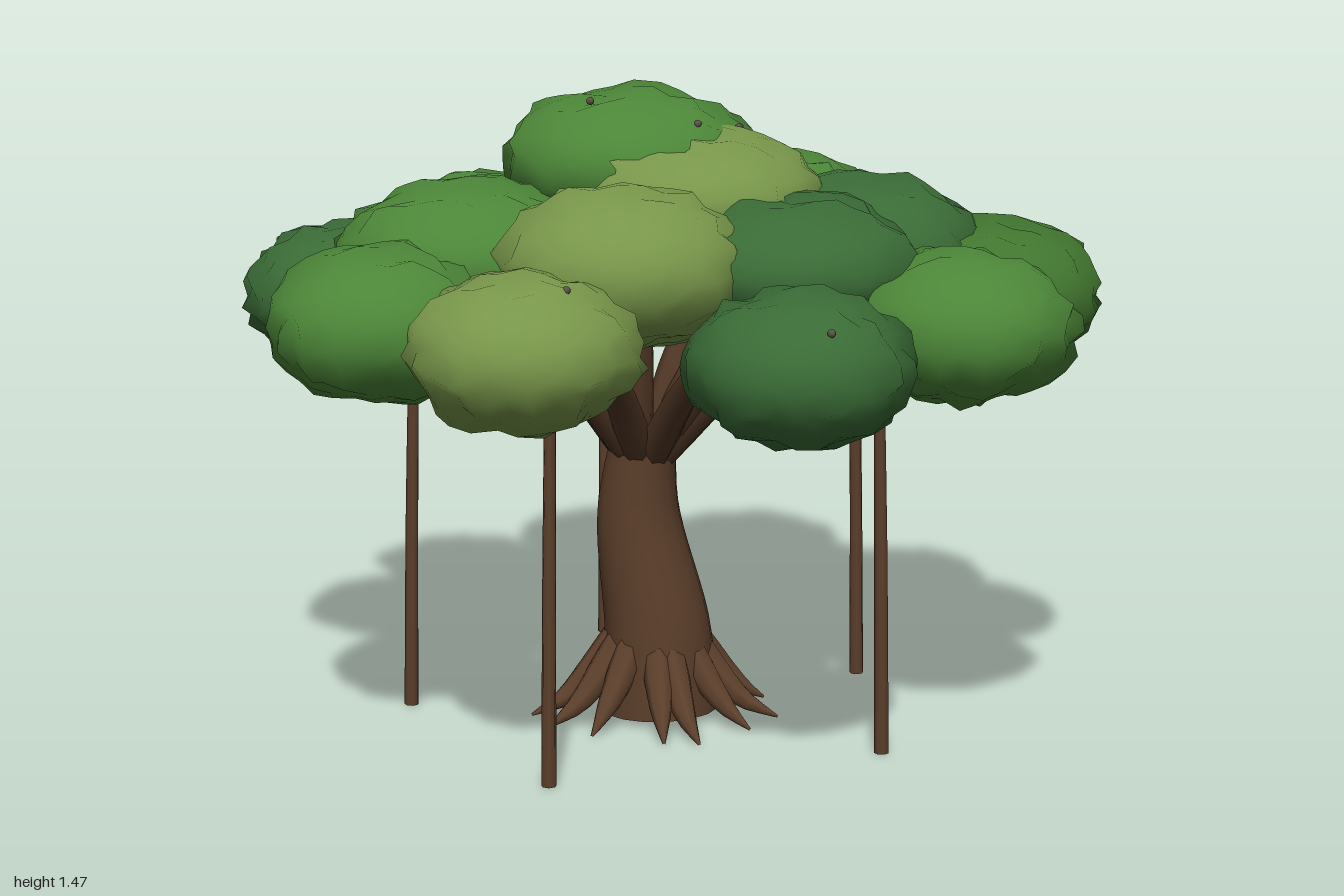
import * as THREE from 'three';

const BARK = 0x5c3f2b, BARK_DARK = 0x4e3524;
const TEAL = 0x3a6b36, GREEN = 0x4c8638, OLIVE = 0x78964a, DARK = 0x41752f, MOSS = 0x5f7836;
const OUTER = 10;

// leaf clumps: x, y, z, horizontal radius, vertical radius, colour
const CLUMPS = [
  // outer ring
  [-0.28, 0.99, -0.75, 0.25, 0.17, TEAL], [0.28, 0.99, -0.66, 0.24, 0.17, MOSS],
  [0.61, 1.01, -0.45, 0.25, 0.17, DARK], [0.75, 1.0, -0.08, 0.25, 0.17, GREEN],
  [0.65, 0.97, 0.39, 0.24, 0.17, TEAL], [0.18, 1.0, 0.71, 0.25, 0.17, OLIVE],
  [-0.19, 1.02, 0.73, 0.25, 0.17, GREEN], [-0.61, 0.99, 0.37, 0.25, 0.17, TEAL],
  [-0.77, 0.99, -0.07, 0.23, 0.15, MOSS], [-0.62, 1.02, -0.53, 0.25, 0.17, GREEN],
  // middle ring
  [-0.36, 1.14, -0.34, 0.26, 0.17, OLIVE], [0.0, 1.11, -0.46, 0.28, 0.17, GREEN],
  [0.36, 1.11, -0.27, 0.29, 0.17, TEAL], [0.39, 1.11, 0.04, 0.29, 0.16, TEAL],
  [0.17, 1.13, 0.36, 0.28, 0.18, OLIVE], [-0.23, 1.12, 0.39, 0.3, 0.17, GREEN],
  [-0.45, 1.09, 0.05, 0.29, 0.16, GREEN],
  // crown
  [-0.08, 1.3, 0.0, 0.3, 0.17, GREEN], [0.08, 1.23, -0.01, 0.31, 0.16, OLIVE],
];

function addMesh(parent, name, geometry, color) {
  const mesh = new THREE.Mesh(geometry, new THREE.MeshStandardMaterial({ color }));
  mesh.name = name;
  parent.add(mesh);
  return mesh;
}

function addGroup(parent, name) {
  const group = new THREE.Group();
  group.name = name;
  parent.add(group);
  return group;
}

// tube along a smooth curve whose radius follows a list of values
function limbGeometry(points, radii, steps = 10, sides = 8) {
  const curve = new THREE.CatmullRomCurve3(points.map((p) => new THREE.Vector3(...p)));
  const geo = new THREE.TubeGeometry(curve, steps, 1, sides);
  const pos = geo.attributes.position, v = new THREE.Vector3();
  for (let i = 0; i <= steps; i++) {
    const t = i / steps, f = t * (radii.length - 1), k = Math.min(Math.floor(f), radii.length - 2);
    const r = THREE.MathUtils.lerp(radii[k], radii[k + 1], f - k);
    const centre = curve.getPointAt(t);
    for (let j = 0; j <= sides; j++) {
      const n = i * (sides + 1) + j;
      v.fromBufferAttribute(pos, n).sub(centre).multiplyScalar(r).add(centre);
      pos.setXYZ(n, v.x, v.y, v.z);
    }
  }
  return geo;
}

// repeatable value in 0..1 from a direction and a seed
function hash(x, y, z, seed) {
  const q = (a) => Math.round(a * 1000) / 1000;
  const s = Math.sin(q(x) * 127.1 + q(y) * 311.7 + q(z) * 74.7 + seed * 19.3) * 43758.5453;
  return s - Math.floor(s);
}

// ragged, flattened ball of leaves, shaded as a soft mass
function clumpGeometry(rx, ry, seed) {
  const geo = new THREE.IcosahedronGeometry(1, 5);
  const pos = geo.attributes.position, normal = geo.attributes.normal, n = new THREE.Vector3();
  for (let i = 0; i < pos.count; i++) {
    const x = pos.getX(i), y = pos.getY(i), z = pos.getZ(i);
    const swell = 0.04 * Math.sin(5 * x + seed) * Math.cos(6 * z + 2 * seed);
    const r = 0.9 + 0.14 * hash(x, y, z, seed) + swell;
    pos.setXYZ(i, x * r * rx, y * r * ry, z * r * rx);
    n.set(x / rx, y / ry, z / rx).normalize();
    normal.setXYZ(i, n.x, n.y, n.z);
  }
  return geo;
}

export function createModel() {
  const model = new THREE.Group();
  model.name = 'tree';

  // leaning trunk with a flat underside
  addMesh(model, 'trunk', limbGeometry(
    [[0, 0.02, 0], [-0.005, 0.2, 0], [-0.052, 0.48, 0.012], [-0.042, 0.67, 0.005]],
    [0.14, 0.122, 0.1, 0.075], 16, 16), BARK);
  const base = addMesh(model, 'trunkBase', new THREE.CircleGeometry(0.14, 16), BARK_DARK);
  base.rotation.x = Math.PI / 2;
  base.position.y = 0.018;

  // flared surface roots, thick at the trunk and pointed at the tip
  const roots = addGroup(model, 'surfaceRoots');
  for (let i = 0; i < 13; i++) {
    const a = (i / 13) * Math.PI * 2 + 0.12 * Math.sin(i * 2.3);
    const reach = 0.275 + 0.02 * Math.sin(i * 1.7);
    const at = (r, y) => [r * Math.cos(a) - 0.015, y, r * Math.sin(a)];
    addMesh(roots, 'surfaceRoot', limbGeometry(
      [at(0.08, 0.2), at(0.15, 0.11), at(0.21, 0.05), at(reach, 0.01)],
      [0.038, 0.036, 0.025, 0.003], 8, 7), BARK);
  }

  // branches rise from the trunk top, then flatten out into the clumps
  const branches = addGroup(model, 'branches');
  CLUMPS.forEach(([x, y, z], i) => {
    const outer = i < OUTER;
    if (!outer && i % 2 === 0) return;
    const d = Math.hypot(x, z);
    const start = [-0.04 + 0.03 * x / d, 0.62, 0.03 * z / d];
    const path = outer
      ? [start, [x * 0.32 - 0.02, 0.84, z * 0.32], [x * 0.55, 0.92, z * 0.55], [x * 0.85, 0.96, z * 0.85]]
      : [start, [x * 0.5 - 0.02, 0.86, z * 0.5], [x * 0.85, y - 0.06, z * 0.85]];
    addMesh(branches, 'branch', limbGeometry(path, [0.042, 0.032, 0.018], 10, 8), BARK_DARK);
  });

  // hanging roots reaching the ground
  const hanging = addGroup(model, 'hangingRoots');
  for (const [x, z] of [[0.585, -0.05], [0.125, 0.57], [-0.495, 0.315], [-0.495, -0.43], [0.212, -0.52]]) {
    addMesh(hanging, 'hangingRoot', limbGeometry(
      [[x, 0.008, z], [x * 0.985, 0.45, z * 0.985], [x * 0.96, 0.97, z * 0.96]],
      [0.017, 0.015, 0.012], 6, 7), BARK);
    const foot = addMesh(hanging, 'hangingRootFoot', new THREE.CircleGeometry(0.017, 7), BARK_DARK);
    foot.rotation.x = Math.PI / 2;
    foot.position.set(x, 0.008, z);
  }

  // foliage
  const foliage = addGroup(model, 'foliage');
  CLUMPS.forEach(([x, y, z, rx, ry, color], i) => {
    addMesh(foliage, 'leafClump', clumpGeometry(rx, ry, i + 1), color).position.set(x, y, z);
  });

  // tiny fruits resting on the highest leaf surface at each spot
  const fruits = addGroup(model, 'fruits');
  const spots = [[0.17, -0.07], [-0.32, -0.47], [-0.57, -0.35], [-0.39, 0.22], [-0.08, 0.15],
    [0.15, 0.06], [-0.8, 0.02], [-0.8, 0.4], [-0.72, 0.26], [0.55, 0.29], [0.8, 0.5],
    [0.31, 0.73], [-0.09, -0.81], [0.14, -0.74], [-0.71, -0.03]];
  for (const [x, z] of spots) {
    const top = Math.max(...CLUMPS.map(([cx, cy, cz, rx, ry]) => {
      const k = 1 - ((x - cx) ** 2 + (z - cz) ** 2) / (rx * rx);
      return k > 0 ? cy + ry * Math.sqrt(k) : 0.95;
    }));
    addMesh(fruits, 'fruit', new THREE.SphereGeometry(0.009, 8, 6), 0x5a5348).position.set(x, top, z);
  }
  return model;
}
